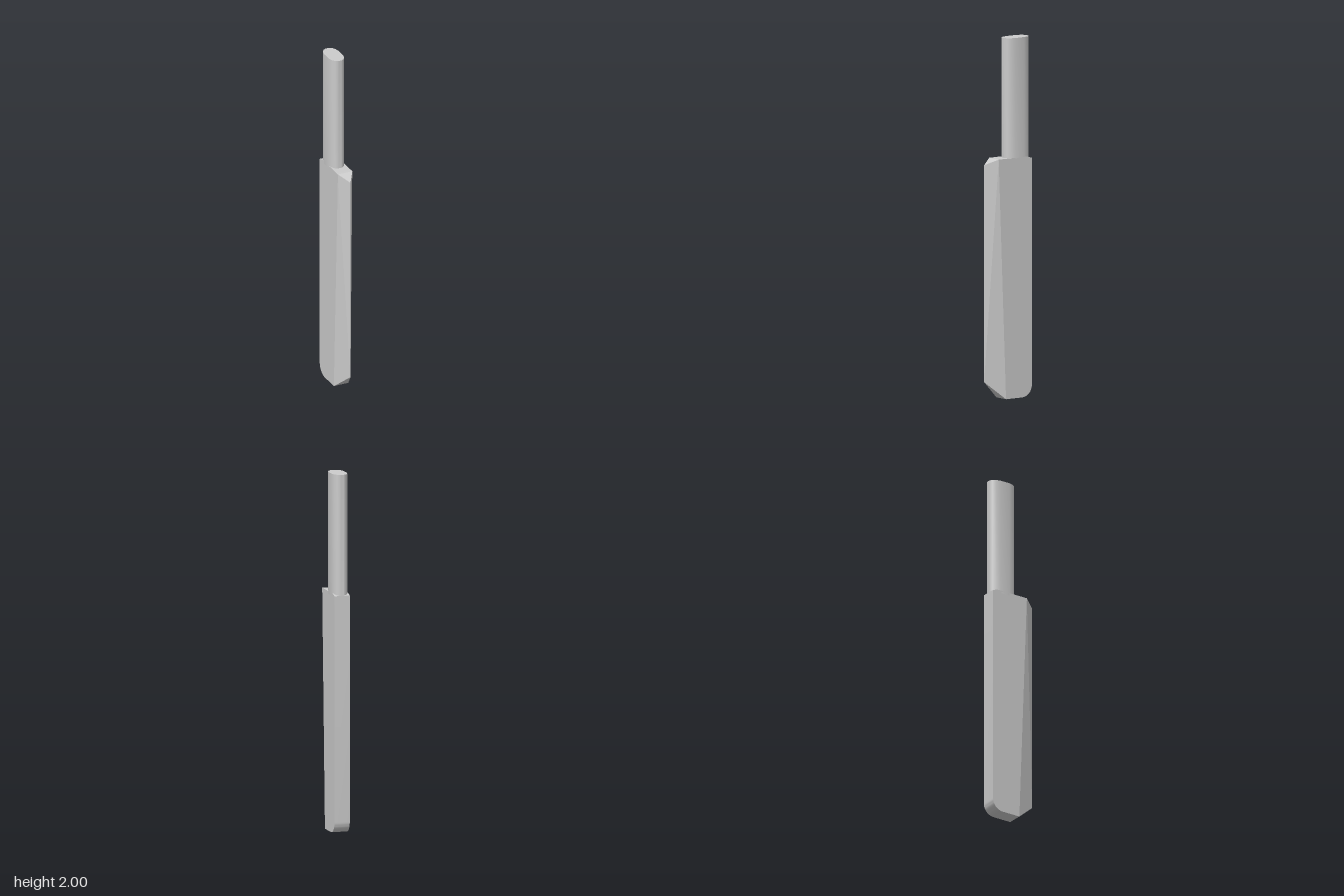
import * as THREE from 'three';
import { toCreasedNormals } from 'three/addons/utils/BufferGeometryUtils.js';

const HALF = 0.044;      // half thickness of blade and handle
const TOP = 1.335;       // shoulder height
const BACK = -0.147;     // spine position

export function createModel() {
  const group = new THREE.Group();
  const material = new THREE.MeshStandardMaterial({ color: 0xcccccc });
  const add = (name, geometry) => {
    const mesh = new THREE.Mesh(geometry, material);
    mesh.name = name;
    group.add(mesh);
  };

  // Flat-sided blade body: side outline (z, y) extruded across the thickness
  const side = new THREE.Shape();
  side.moveTo(0.08, TOP);
  side.lineTo(-0.115, TOP);
  side.lineTo(BACK, 1.325);
  side.lineTo(BACK, 0.065);
  side.absarc(BACK + 0.065, 0.065, 0.065, Math.PI, Math.PI * 1.5, false);
  side.lineTo(0.03, 0);
  side.closePath();
  const body = new THREE.ExtrudeGeometry(side, { depth: HALF * 2, bevelEnabled: false, curveSegments: 6 });
  body.translate(0, 0, -HALF).rotateY(-Math.PI / 2);
  add('bladeBody', toCreasedNormals(body, 0.5));

  // Sharpened wedge: bevels meet at the cutting edge, with sloped ends
  const wedge = new THREE.BufferGeometry();
  wedge.setAttribute('position', new THREE.Float32BufferAttribute([
    HALF, TOP, 0.08, -HALF, TOP, 0.08,
    HALF, 0, 0.03, -HALF, 0, 0.03,
    0, 1.305, 0.147, 0, 0.1, 0.147,
  ], 3));
  wedge.setIndex([
    0, 4, 5, 0, 5, 2,   // left bevel
    1, 3, 5, 1, 5, 4,   // right bevel
    0, 1, 4, 3, 2, 5,   // sloped top and tip
  ]);
  add('cuttingEdge', toCreasedNormals(wedge, 0.2));

  // Handle: oblong section with rounded ends
  const mid = -0.065;
  const quarter = [[HALF, 0.029], [0.038, 0.055], [0.026, 0.073], [0.01, 0.082]];
  const half = [...quarter, ...quarter.map(([x, d]) => [-x, d]).reverse()];
  const outline = [...half, ...half.map(([x, d]) => [-x, -d])];
  const section = new THREE.Shape(outline.map(([x, d]) => new THREE.Vector2(x, d - mid)));
  const handle = new THREE.ExtrudeGeometry(section, { depth: 2 - 1.32, bevelEnabled: false });
  handle.rotateX(-Math.PI / 2).translate(0, 1.32, 0);
  add('handle', toCreasedNormals(handle, 0.7));

  return group;
}
